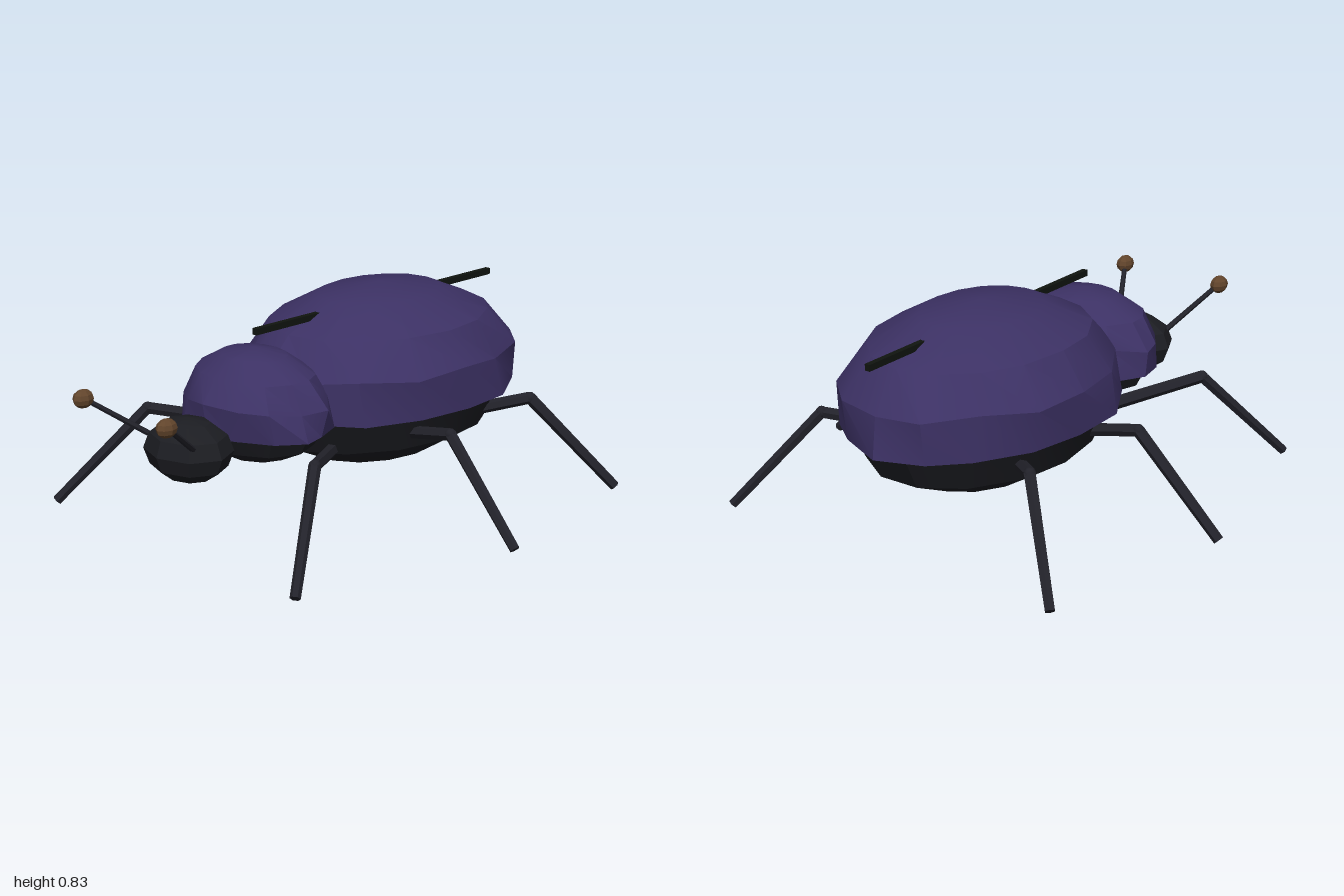
import * as THREE from 'three';
import { toCreasedNormals } from 'three/addons/utils/BufferGeometryUtils.js';

const mat = (name, color) => {
  const m = new THREE.MeshStandardMaterial({ color });
  m.name = name;
  return m;
};

// Closed faceted dome: each ring is [height, radius factor]; seeded wobble roughens the rim rings.
function domeGeometry(rx, h, rz, segments, wobble, seed) {
  let s = seed;
  const rand = () => ((s = (s * 16807) % 2147483647) / 2147483647) * 2 - 1;
  const rings = [[1, 0], [0.92, 0.43], [0.7, 0.77], [0.38, 0.96], [0, 0.98], [0, 0]];
  const pos = [], index = [];
  rings.forEach(([y, r], k) => {
    const rough = k === 3 || k === 4 ? wobble : k === 2 ? wobble * 0.5 : 0;
    for (let i = 0; i < segments; i++) {
      const a = (i / segments) * Math.PI * 2 + rand() * rough * 1.5;
      const q = r * (1 + rand() * rough);
      const lift = k === 3 ? rand() * rough * 0.8 : 0;
      pos.push(Math.sin(a) * q * rx, (y + lift) * h, Math.cos(a) * q * rz);
    }
  });
  for (let k = 0; k < rings.length - 1; k++) {
    for (let i = 0; i < segments; i++) {
      const j = (i + 1) % segments;
      const a = k * segments + i, b = k * segments + j;
      const c = a + segments, d = b + segments;
      if (k < rings.length - 2) index.push(a, c, d);
      else index.push(a, c, b);
      if (k > 0 && k < rings.length - 2) index.push(a, d, b);
    }
  }
  const g = new THREE.BufferGeometry();
  g.setAttribute('position', new THREE.Float32BufferAttribute(pos, 3));
  g.setIndex(index);
  return toCreasedNormals(g, 0.45);
}

function ellipsoid(rx, ry, rz, w, h, crease) {
  const g = new THREE.SphereGeometry(1, w, h);
  g.scale(rx, ry, rz);
  return toCreasedNormals(g, crease);
}

// Tapered rod between two points
function rod(name, from, to, r0, r1, sides, material) {
  const a = new THREE.Vector3(...from), b = new THREE.Vector3(...to);
  const dir = b.clone().sub(a);
  const g = toCreasedNormals(new THREE.CylinderGeometry(r1, r0, dir.length(), sides), 0.5);
  const m = new THREE.Mesh(g, material);
  m.name = name;
  m.position.copy(a).add(b).multiplyScalar(0.5);
  m.quaternion.setFromUnitVectors(new THREE.Vector3(0, 1, 0), dir.normalize());
  return m;
}

export function createModel() {
  const shell = mat('purple shell', 0x3c3164);
  const body = mat('black body', 0x1c1d22);
  const limb = mat('dark limb', 0x22222a);
  const seam = mat('seam black', 0x10140f);
  const brown = mat('antenna brown', 0x62452c);

  const root = new THREE.Group();
  root.name = 'beetle';
  const add = (name, geometry, material, x, y, z) => {
    const m = new THREE.Mesh(geometry, material);
    m.name = name;
    m.position.set(x, y, z);
    root.add(m);
  };

  // Shells over the back and the thorax
  add('wingCase', domeGeometry(0.485, 0.43, 0.64, 16, 0.035, 71), shell, 0, 0.41, -0.35);
  add('thoraxShell', domeGeometry(0.33, 0.295, 0.26, 14, 0.06, 19), shell, 0, 0.41, 0.32);

  // Dark undersides and head
  add('belly', ellipsoid(0.44, 0.275, 0.6, 14, 6, 0.5), body, 0, 0.41, -0.34);
  add('thoraxUnderside', ellipsoid(0.29, 0.14, 0.23, 10, 6, 0.5), body, 0, 0.41, 0.32);
  add('head', ellipsoid(0.185, 0.122, 0.155, 8, 6, 0.5), body, 0, 0.38, 0.655);

  // Straight seam between the wing cases
  add('wingSeam', new THREE.BoxGeometry(0.022, 0.025, 1.32), seam, 0, 0.763, -0.34);

  // Antennae and legs, mirrored
  const legs = {
    front: [[0.24, 0.31, 0.15], [0.47, 0.385, 0.46], [0.68, 0.02, 0.76]],
    middle: [[0.22, 0.31, -0.17], [0.575, 0.385, -0.15], [0.925, 0.025, -0.13]],
    rear: [[0.25, 0.31, -0.49], [0.49, 0.385, -0.71], [0.75, 0.02, -0.945]],
  };
  for (const [side, s] of [['Left', 1], ['Right', -1]]) {
    const flip = ([x, y, z]) => [x * s, y, z];
    root.add(rod('antenna' + side, flip([0.1, 0.4, 0.7]), flip([0.235, 0.59, 0.955]), 0.012, 0.01, 6, limb));
    add('antennaTip' + side, ellipsoid(0.034, 0.036, 0.044, 8, 6, 0.3), brown, 0.235 * s, 0.588, 0.955);
    for (const [name, points] of Object.entries(legs)) {
      const [hip, knee, foot] = points.map(flip);
      const leg = new THREE.Group();
      leg.name = name + 'Leg' + side;
      leg.add(rod('upperLeg', hip, knee, 0.026, 0.024, 6, limb));
      leg.add(rod('lowerLeg', knee, foot, 0.024, 0.02, 6, limb));
      const joint = new THREE.Mesh(new THREE.SphereGeometry(0.024, 8, 6), limb);
      joint.name = 'knee';
      joint.position.set(...knee);
      leg.add(joint);
      root.add(leg);
    }
  }
  return root;
}
